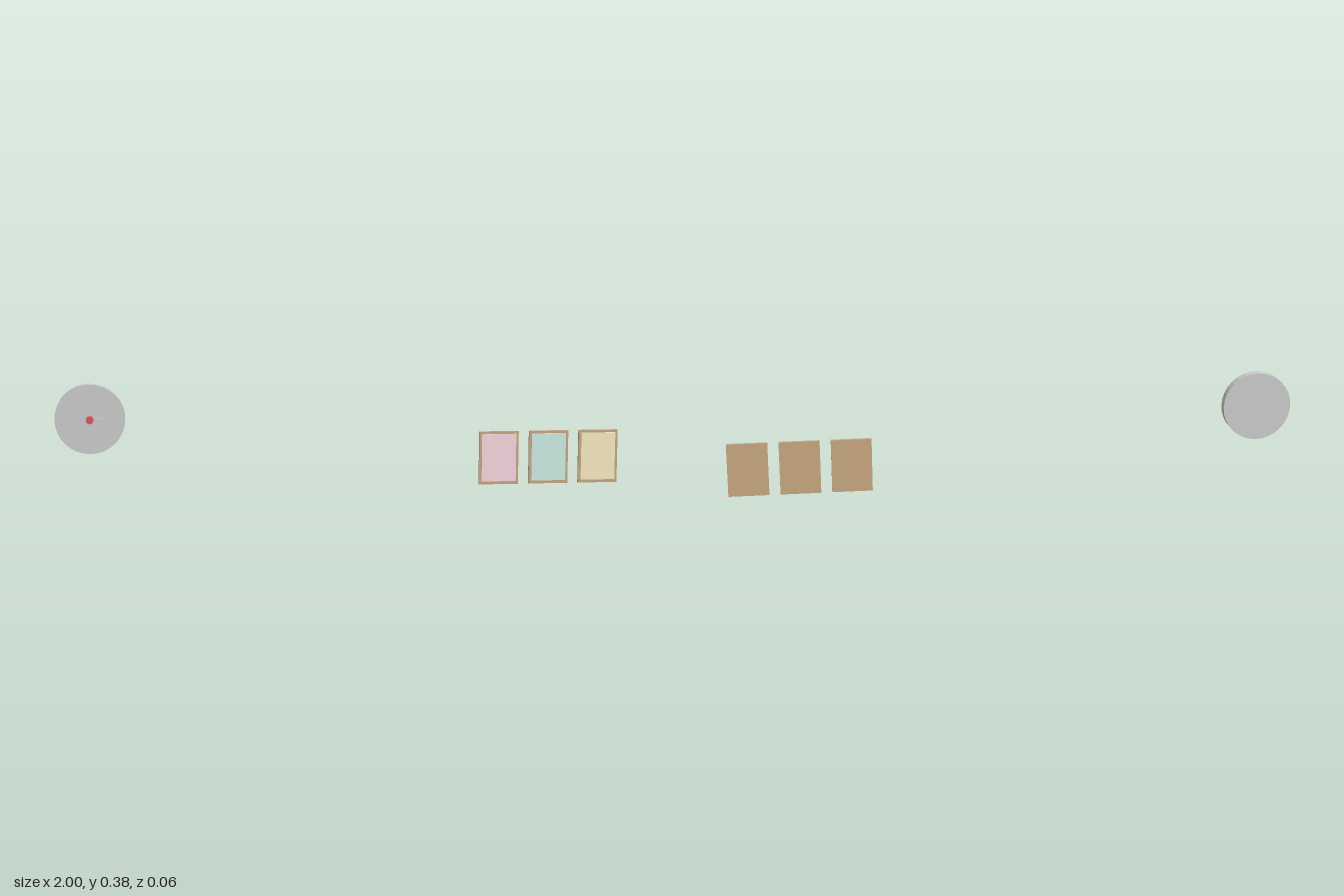
import * as THREE from 'three';

const material = (color) => new THREE.MeshStandardMaterial({ color, flatShading: true });

function addMesh(parent, name, geometry, mat, x, y, z) {
  const mesh = new THREE.Mesh(geometry, mat);
  mesh.name = name;
  mesh.position.set(x, y, z);
  parent.add(mesh);
  return mesh;
}

// Disc or pin whose axis runs along z
const zCylinder = (radius, depth, sides) =>
  new THREE.CylinderGeometry(radius, radius, depth, sides).rotateX(Math.PI / 2);

function createClock() {
  const clock = new THREE.Group();
  clock.name = 'wallClock';
  clock.position.set(-0.878, 0.258, 0);
  const grey = material(0xcccccc);

  addMesh(clock, 'clockBody', zCylinder(0.122, 0.033, 32), grey, 0, 0, -0.0125);
  // Hands point to twelve and three
  addMesh(clock, 'minuteHand', new THREE.BoxGeometry(0.01, 0.075, 0.008), grey, 0, 0.0375, 0.008);
  addMesh(clock, 'hourHand', new THREE.BoxGeometry(0.067, 0.01, 0.008), grey, 0.0335, 0, 0.008);
  addMesh(clock, 'centrePin', zCylinder(0.013, 0.027, 16), material(0xe0525c), 0, 0, 0.0175);
  return clock;
}

function createPicture(x, color) {
  const picture = new THREE.Group();
  picture.name = 'picture';
  picture.position.set(x, 0.0955, 0);

  // Wooden backing with a thin coloured sheet raised on its front
  addMesh(picture, 'frame', new THREE.BoxGeometry(0.142, 0.191, 0.0095), material(0xc8a880), 0, 0, -0.0078);
  addMesh(picture, 'sheet', new THREE.BoxGeometry(0.124, 0.171, 0.004), material(color), 0, 0.001, -0.002);
  return picture;
}

export function createModel() {
  const model = new THREE.Group();
  model.name = 'wallDecorations';
  model.add(createClock());
  // Row of three pictures
  [0xf8d8e0, 0xcdeee6, 0xf8ecc0].forEach((color, i) => {
    model.add(createPicture(0.568 + i * 0.1805, color));
  });
  return model;
}
